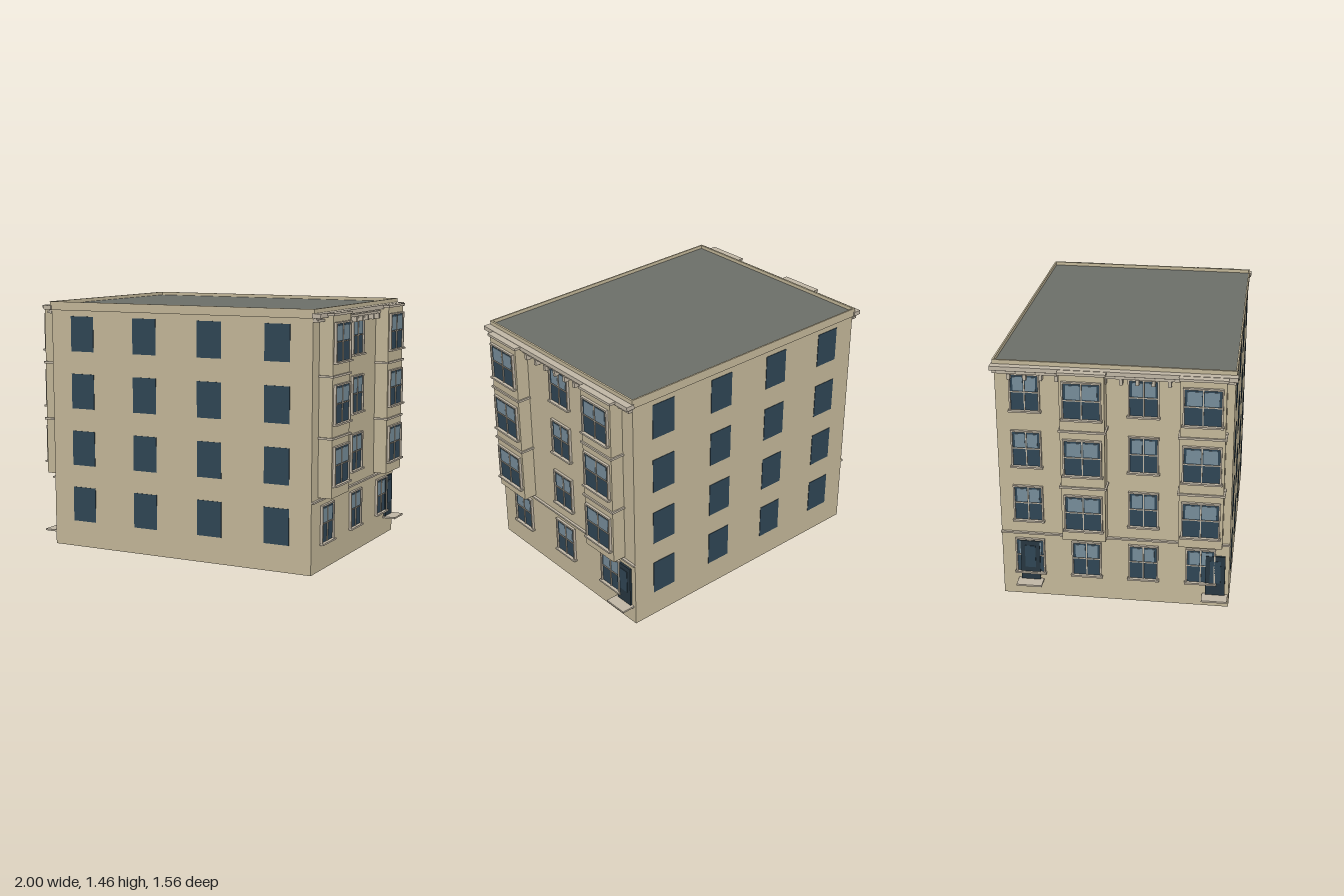
import * as THREE from 'three';

const mat = (color) => new THREE.MeshStandardMaterial({ color });
const WALL = mat(0xc2b698), TRIM = mat(0xbfb5a4), ROOF = mat(0x6b6e68);
const GLASS = mat(0x2f4554), PALE = mat(0x758b98), DOOR = mat(0x263640);

// Slightly irregular footprint [x, z]: front left, front right, back right, back left as drawn
const CORNERS = [[-0.732, 0.76], [0.905, 0.475], [0.712, -0.757], [-0.943, -0.515]];
const FLOORS = [0.155, 0.492, 0.83, 1.167]; // window bottoms
const WIN_H = 0.205;

// Box given by centre x, bottom y, back z
function box(parent, name, material, w, h, d, x, y, z = 0) {
  const m = new THREE.Mesh(new THREE.BoxGeometry(w, h, d), material);
  m.position.set(x, y + h / 2, z + d / 2);
  m.name = name;
  parent.add(m);
  return m;
}

function outline(scale, Type = THREE.Shape) {
  return new Type(CORNERS.map(([x, z]) => new THREE.Vector2(x * scale, -z * scale)));
}

// Upright prism on the footprint
function prism(parent, name, material, shape, y, h) {
  const g = new THREE.ExtrudeGeometry(shape, { depth: h, bevelEnabled: false });
  g.rotateX(-Math.PI / 2);
  const m = new THREE.Mesh(g, material);
  m.position.y = y;
  m.name = name;
  parent.add(m);
}

// Sash window: pale upper and dark lower glass, frame, bars and sill
function sashWindow(parent, x, y, z, w) {
  const g = new THREE.Group();
  g.name = 'sashWindow';
  g.position.set(x, y, z);
  parent.add(g);
  const h = WIN_H, f = 0.009, mid = h * 0.52;
  box(g, 'lowerGlass', GLASS, w, mid, 0.005, 0, 0);
  box(g, 'upperGlass', GLASS, w, h - mid, 0.007, 0, mid);
  for (const s of [-1, 1]) {
    box(g, 'upperPane', PALE, w / 2 - 0.02, h - mid - 0.02, 0.002, s * (w / 4 - 0.003), mid + 0.008, 0.007);
    box(g, 'jamb', TRIM, f, h + f, 0.015, s * (w / 2 + f / 2), 0);
  }
  box(g, 'head', TRIM, w, f, 0.015, 0, h);
  box(g, 'mullion', TRIM, 0.006, h, 0.011, 0, 0);
  box(g, 'meetingRail', TRIM, w, 0.006, 0.011, 0, mid - 0.003);
  box(g, 'sill', TRIM, w + 0.03, 0.01, 0.024, 0, -0.01);
}

// Projecting bay through the upper floors
function bay(parent, x, w) {
  const g = new THREE.Group();
  g.name = 'bay';
  g.position.x = x;
  parent.add(g);
  const d = 0.08;
  box(g, 'bayBody', WALL, w, 1.0, d, 0, 0.42);
  for (const y of [0.745, 1.083]) box(g, 'bayMoulding', TRIM, w + 0.018, 0.012, d + 0.009, 0, y);
  box(g, 'bayCap', TRIM, w + 0.018, 0.014, d + 0.009, 0, 1.416);
  for (const y of FLOORS.slice(1)) sashWindow(g, 0, y, d, 0.195);
}

function entrance(parent, x, y) {
  const g = new THREE.Group();
  g.name = 'entrance';
  g.position.set(x, y, 0);
  parent.add(g);
  box(g, 'door', DOOR, 0.11, 0.25, 0.012, 0, 0);
  box(g, 'doorPane', GLASS, 0.06, 0.14, 0.003, 0, 0.08, 0.012);
  box(g, 'doorstep', TRIM, 0.145, 0.01, 0.08, 0, -0.01);
}

// Group with x along the wall and z outward, starting at corner i
function facade(parent, i, name) {
  const [ax, az] = CORNERS[i], [bx, bz] = CORNERS[(i + 1) % 4];
  const g = new THREE.Group();
  g.name = name;
  g.position.set(ax, 0, az);
  g.rotation.y = Math.atan2(az - bz, bx - ax);
  parent.add(g);
  return [g, Math.hypot(bx - ax, bz - az)];
}

function plainFacade(parent, i, name) {
  const [g, len] = facade(parent, i, name);
  for (const y of FLOORS)
    for (let c = 0; c < 4; c++) box(g, 'plainWindow', GLASS, 0.152, WIN_H, 0.003, (len * (c + 0.5)) / 4, y);
}

function ornateFacade(parent, i, name, columns, bays, doors) {
  const [g, len] = facade(parent, i, name);
  // windows and bays
  for (let c = 0; c < columns; c++) {
    const x = (len * (c + 0.5)) / columns;
    const isBay = bays.includes(c);
    if (isBay) bay(g, x, 0.243);
    for (const y of isBay ? FLOORS.slice(0, 1) : FLOORS) sashWindow(g, x, y, 0, 0.15);
  }
  for (const [t, y] of doors) entrance(g, t * len, y);
  // string course, cornice layers and brackets
  box(g, 'stringCourse', TRIM, len + 0.004, 0.01, 0.015, len / 2, 0.4);
  box(g, 'lowerCornice', TRIM, len + 0.01, 0.014, 0.03, len / 2, 1.385);
  box(g, 'upperCornice', TRIM, len + 0.03, 0.024, 0.05, len / 2, 1.408);
  box(g, 'corniceCore', TRIM, len, 0.03, 0.02, len / 2, 1.385);
  const n = Math.round(len / 0.0865) - 1;
  for (let k = 0; k < n; k++)
    box(g, 'bracket', TRIM, 0.018, 0.032, 0.035, len / 2 + (k - (n - 1) / 2) * 0.0865, 1.354);
}

export function createModel() {
  const root = new THREE.Group();
  root.name = 'apartmentBuilding';

  prism(root, 'walls', WALL, outline(1), 0, 1.41);
  prism(root, 'roof', ROOF, outline(1), 1.41, 0.025);
  const ring = outline(1.012);
  ring.holes.push(outline(0.998, THREE.Path));
  prism(root, 'parapet', WALL, ring, 1.405, 0.05);

  plainFacade(root, 0, 'frontFacade');
  plainFacade(root, 2, 'backFacade');
  ornateFacade(root, 1, 'leftFacade', 3, [0, 2], [[0.93, 0.115]]);
  ornateFacade(root, 3, 'rightFacade', 4, [1, 3], [[0.125, 0.105], [0.94, 0.08]]);
  return root;
}
